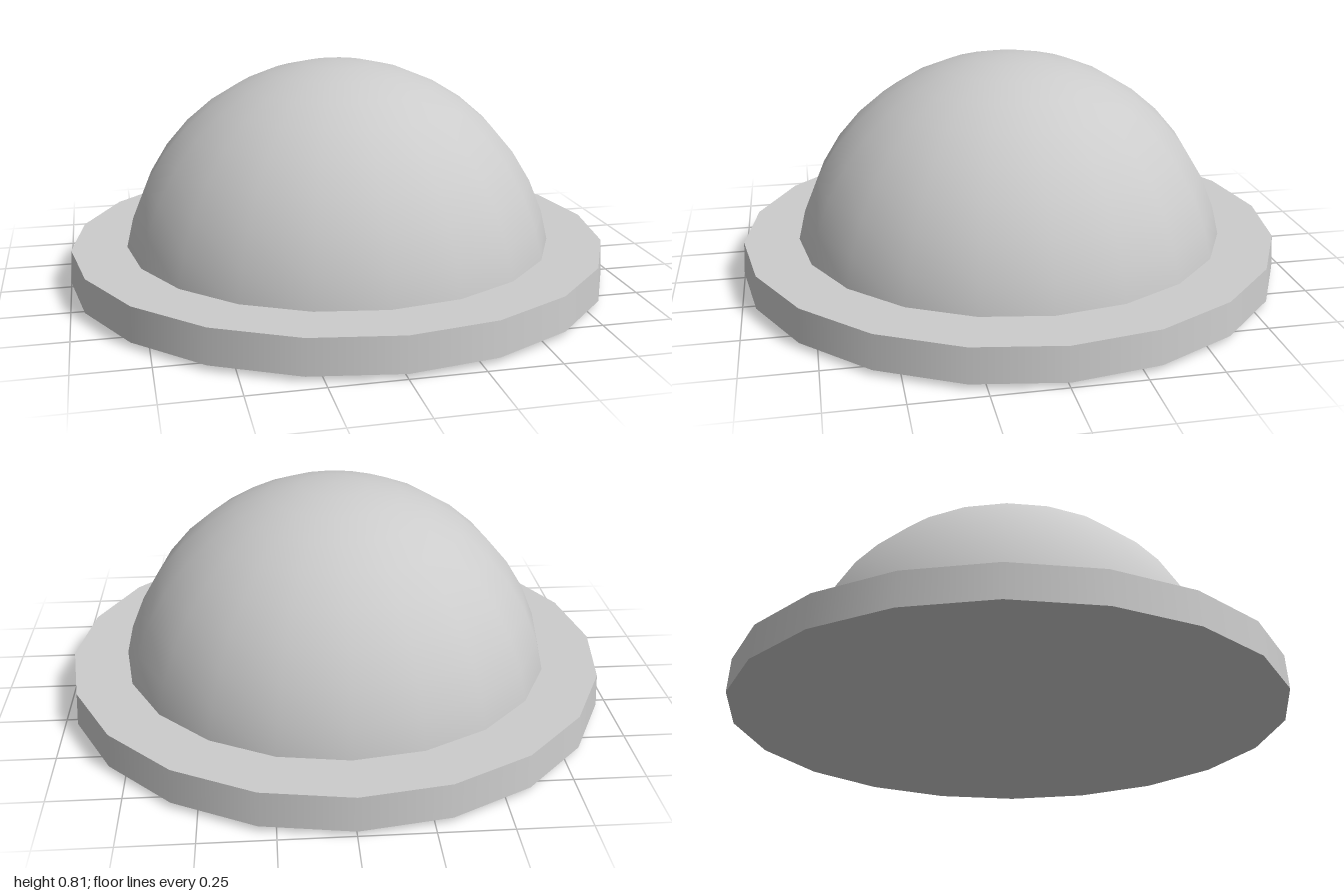
import * as THREE from 'three';

const SIDES = 20;

export function createModel() {
  const group = new THREE.Group();
  const material = new THREE.MeshStandardMaterial({ color: 0xcccccc });

  const addPart = (name, geometry) => {
    const mesh = new THREE.Mesh(geometry, material);
    mesh.name = name;
    group.add(mesh);
    return mesh;
  };
  const lathe = (points) =>
    new THREE.LatheGeometry(points.map(([r, y]) => new THREE.Vector2(r, y)), SIDES);

  // Upper dome, its foot sunk into the base
  const dome = new THREE.SphereGeometry(0.805, SIDES, 9, 0, Math.PI * 2, 0, Math.PI * 0.45);
  addPart('dome', dome);

  // Slightly tapered rim wall
  addPart('rimWall', lathe([[1, 0.018], [0.993, 0.14]]));

  // Flat ledge around the dome
  addPart('rimLedge', lathe([[0.993, 0.14], [0.77, 0.14]]));

  // Underside, turned up a little towards the rim
  addPart('underside', lathe([[0, 0], [0.8, 0.003], [1, 0.018]]));

  return group;
}
